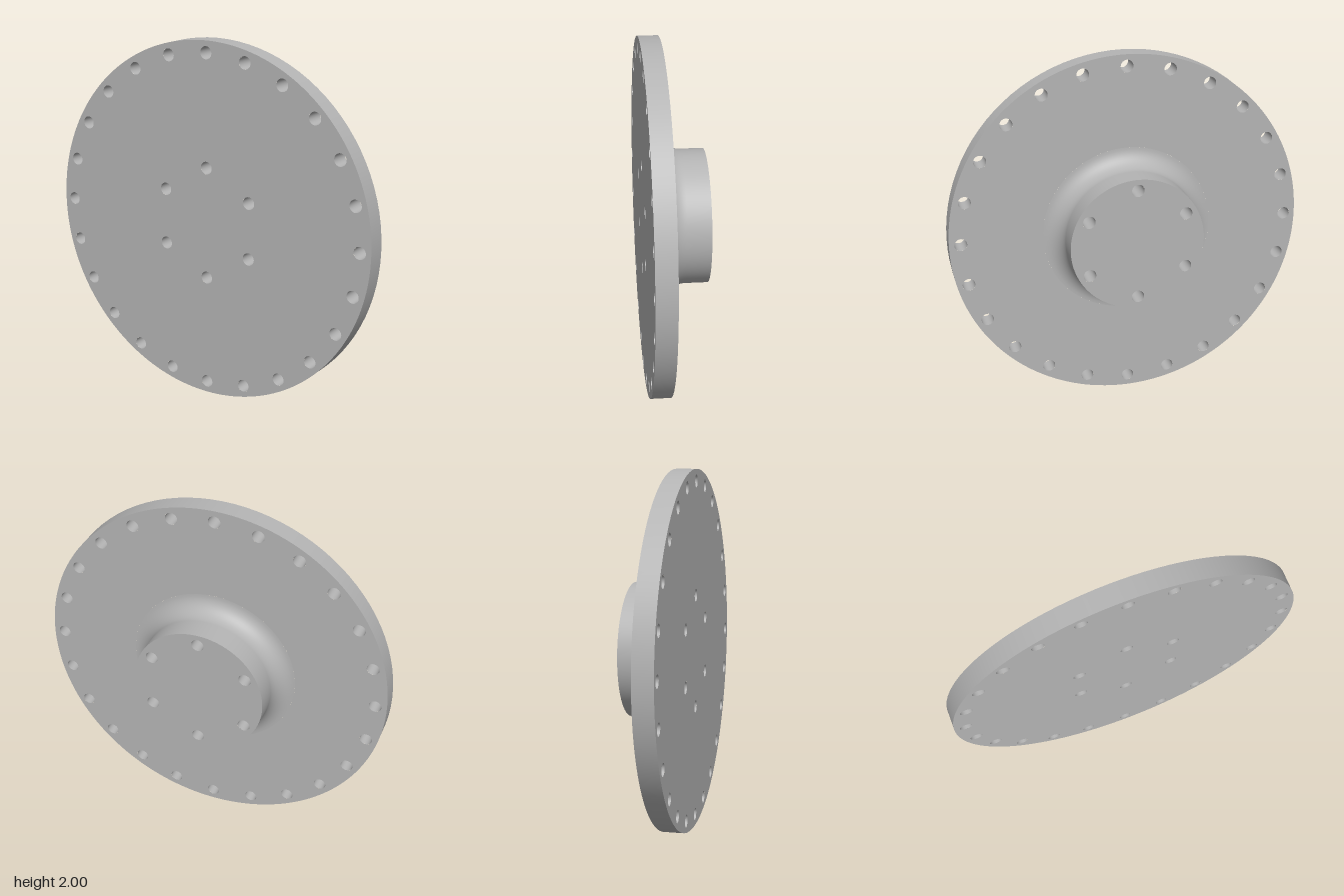
import * as THREE from 'three';

const SEG = 96;
const FRONT = 0.175, PLATE_BACK = 0.062, HUB_BACK = -0.175;
const PLATE_R = 1, HUB_R = 0.375, FILLET = 0.105, HOLE_R = 0.035;

// Evenly spaced hole centres on a circle, starting at the top
function boltCircle(count, radius) {
  return Array.from({ length: count }, (_, i) => {
    const a = (i / count) * Math.PI * 2;
    return new THREE.Vector2(Math.sin(a) * radius, Math.cos(a) * radius);
  });
}

function circlePath(Type, x, y, r) {
  return new Type().absarc(x, y, r, 0, Math.PI * 2, false);
}

// Flat disc facing +z, pierced by bolt holes and optionally by a centre opening
function piercedDisc(radius, holes, opening = 0) {
  const shape = circlePath(THREE.Shape, 0, 0, radius);
  for (const h of holes) shape.holes.push(circlePath(THREE.Path, h.x, h.y, HOLE_R));
  if (opening) shape.holes.push(circlePath(THREE.Path, 0, 0, opening));
  return new THREE.ShapeGeometry(shape, SEG);
}

// Surface turned about z from [radius, z] pairs; increasing z faces outward
function turned(points, segments = SEG) {
  const profile = points.map(([r, z]) => new THREE.Vector2(r, z));
  return new THREE.LatheGeometry(profile, segments).rotateX(Math.PI / 2);
}

export function createModel() {
  const model = new THREE.Group();
  model.name = 'flange';
  const grey = new THREE.MeshStandardMaterial({ color: 0xb4b4b4 });
  grey.name = 'grey metal';

  const body = new THREE.Group();
  body.position.y = PLATE_R;
  model.add(body);
  body.name = 'flangeBody';

  function add(name, geometry) {
    const mesh = new THREE.Mesh(geometry, grey);
    mesh.name = name;
    body.add(mesh);
    return mesh;
  }

  const rimHoles = boltCircle(24, 0.935);
  const hubHoles = boltCircle(6, 0.3125);

  // Plate: front face, rim and back ring around the hub
  add('plateFront', piercedDisc(PLATE_R, [...rimHoles, ...hubHoles]).translate(0, 0, FRONT));
  add('plateRim', turned([[PLATE_R, PLATE_BACK], [PLATE_R, FRONT]]));
  add('plateBack', piercedDisc(PLATE_R, rimHoles, HUB_R + FILLET)
    .rotateY(Math.PI).translate(0, 0, PLATE_BACK));

  // Hub: straight wall flowing through a concave fillet into the plate
  const wall = [[HUB_R, HUB_BACK]];
  for (let i = 0; i <= 12; i++) {
    const a = (i / 12) * Math.PI / 2;
    wall.push([
      HUB_R + FILLET * (1 - Math.cos(a)),
      PLATE_BACK - FILLET * (1 - Math.sin(a)),
    ]);
  }
  add('hubWall', turned(wall));
  add('hubBack', piercedDisc(HUB_R, hubHoles).rotateY(Math.PI).translate(0, 0, HUB_BACK));

  // Bores: inward-facing walls of the through holes
  function addBores(name, holes, back) {
    const geometry = turned([[HOLE_R, FRONT], [HOLE_R, back]], 32);
    for (const h of holes) add(name, geometry).position.set(h.x, h.y, 0);
  }
  addBores('rimBore', rimHoles, PLATE_BACK);
  addBores('hubBore', hubHoles, HUB_BACK);

  return model;
}
